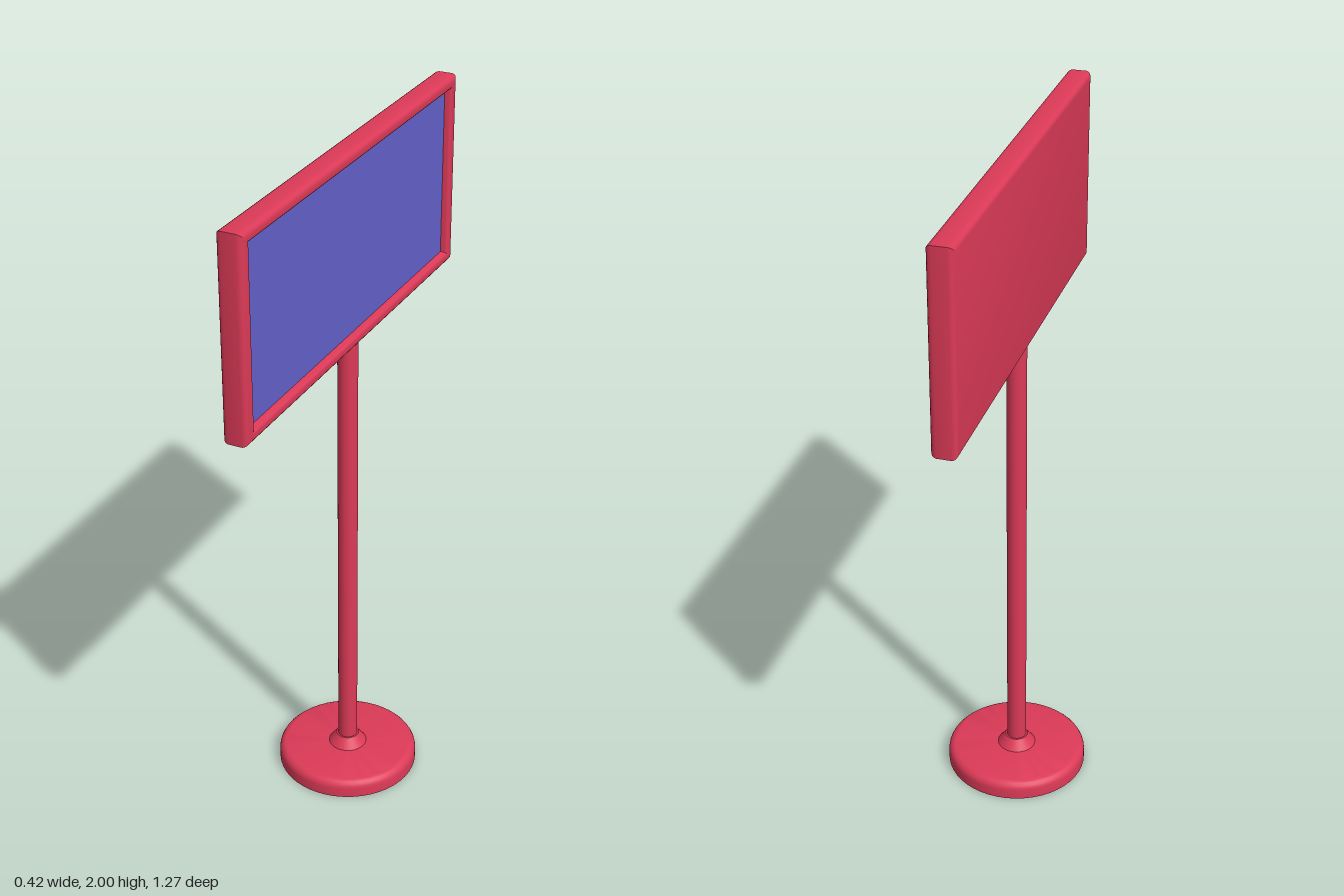
import * as THREE from 'three';
import { toCreasedNormals } from 'three/addons/utils/BufferGeometryUtils.js';

const red = new THREE.MeshStandardMaterial({ color: 0xdc3a57 });
const blue = new THREE.MeshStandardMaterial({ color: 0x6461cc });

// Skin rectangles [x, halfHeight, halfWidth] running from the back to the front along x
function rectangleSweep(sections) {
  const corners = [[-1, 1], [-1, -1], [1, -1], [1, 1]];
  const loops = sections.map(([x, hy, hz]) => corners.map(([sy, sz]) => [x, sy * hy, sz * hz]));
  const pos = [];
  const quad = (a, b, c, d) => pos.push(...a, ...b, ...c, ...a, ...c, ...d);
  const [p, q, r, s] = loops[0];
  quad(s, r, q, p); // closed back
  for (let i = 0; i < loops.length - 1; i++) {
    for (let k = 0; k < 4; k++) {
      const n = (k + 1) % 4;
      quad(loops[i][k], loops[i][n], loops[i + 1][n], loops[i + 1][k]);
    }
  }
  const geometry = new THREE.BufferGeometry();
  geometry.setAttribute('position', new THREE.Float32BufferAttribute(pos, 3));
  return toCreasedNormals(geometry, 0.6);
}

export function createModel() {
  const model = new THREE.Group();
  const add = (name, geometry, material, x = 0, y = 0) => {
    const mesh = new THREE.Mesh(geometry, material);
    mesh.name = name;
    mesh.position.set(x, y, 0);
    model.add(mesh);
  };

  // Round foot with a softened upper rim
  const foot = [new THREE.Vector2(0, 0), new THREE.Vector2(0.21, 0)];
  for (let i = 0; i <= 5; i++) {
    const a = (i / 5) * Math.PI / 2;
    foot.push(new THREE.Vector2(0.185 + 0.025 * Math.cos(a), 0.03 + 0.025 * Math.sin(a)));
  }
  foot.push(new THREE.Vector2(0, 0.055));
  add('base', toCreasedNormals(new THREE.LatheGeometry(foot, 48), 0.6), red);

  // Collar and pole
  add('collar', new THREE.CylinderGeometry(0.034, 0.058, 0.032, 32), red, 0, 0.07);
  add('pole', new THREE.CylinderGeometry(0.029, 0.029, 1.4, 32), red, 0, 0.745);

  // Tray-shaped frame with rounded rims, open towards +x
  const X = 0.036, H = 0.284, W = 0.637, R = 0.016, r = 0.012;
  const innerH = 0.249, innerW = 0.595, steps = 4;
  const arc = (i) => [Math.sin((i / steps) * Math.PI / 2), Math.cos((i / steps) * Math.PI / 2)];
  const sections = [];
  for (let i = 0; i <= steps; i++) { // back rim
    const [s, c] = arc(i);
    sections.push([-X + R - R * c, H - R + R * s, W - R + R * s]);
  }
  for (let i = 0; i <= steps; i++) { // outer front rim
    const [s, c] = arc(i);
    sections.push([X - R + R * s, H - R + R * c, W - R + R * c]);
  }
  for (let i = 0; i <= steps; i++) { // inner front rim
    const [s, c] = arc(i);
    sections.push([X - r + r * c, innerH + r - r * s, innerW + r - r * s]);
  }
  sections.push([0.01, innerH, innerW]); // wall of the recess
  add('frame', rectangleSweep(sections), red, 0, 1.716);

  // Recessed display panel
  add('screen', new THREE.BoxGeometry(0.02, innerH * 2, innerW * 2), blue, 0.006, 1.716);

  return model;
}
